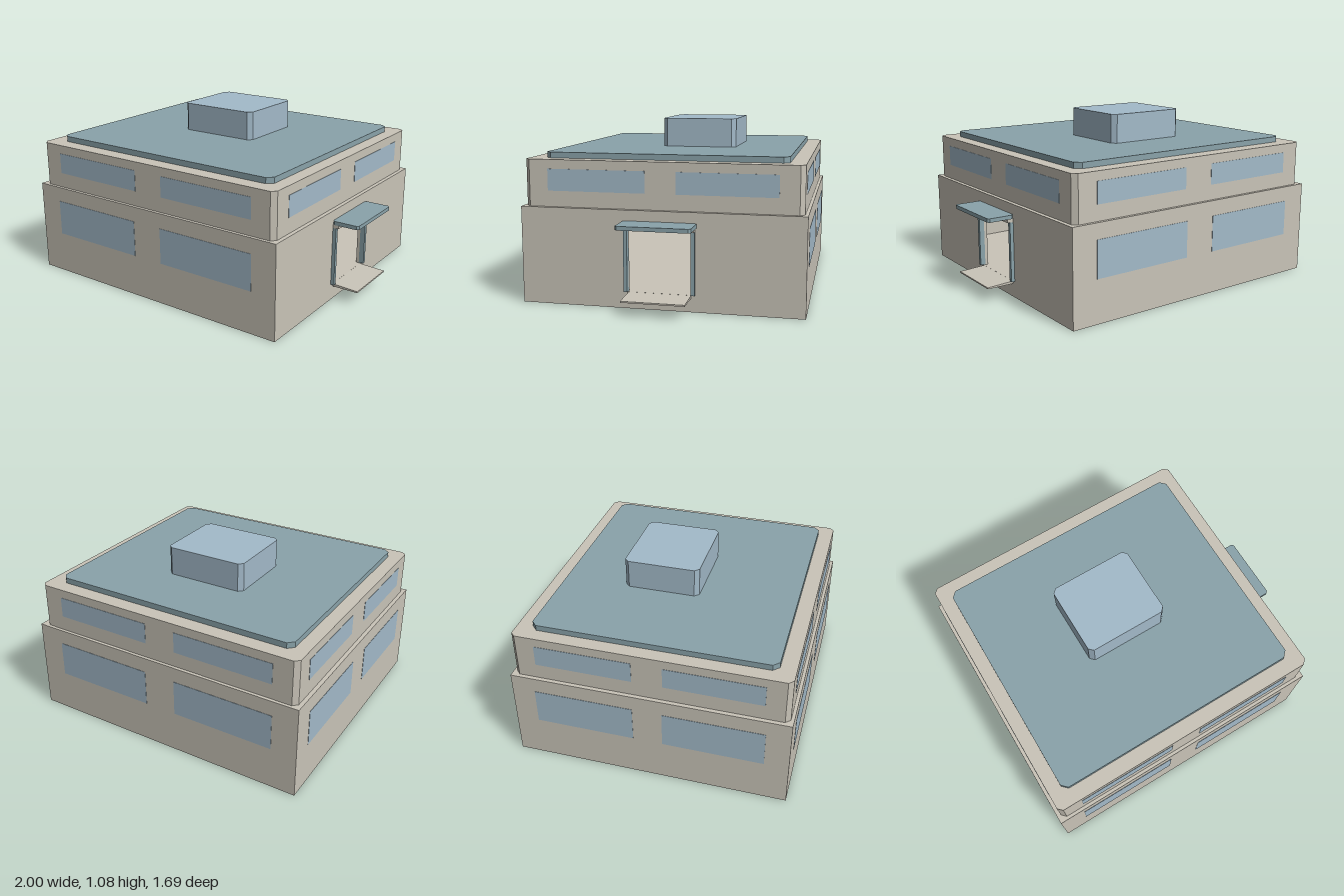
import * as THREE from 'three';

const wall = new THREE.MeshStandardMaterial({ color: 0xc9c4b8, name: 'stone wall' });
const trim = new THREE.MeshStandardMaterial({ color: 0x8aa3aa, name: 'slate trim' });
const glass = new THREE.MeshStandardMaterial({ color: 0xa3bac9, name: 'pale glass' });

function add(group, name, geometry, material) {
  const mesh = new THREE.Mesh(geometry, material);
  mesh.name = name;
  group.add(mesh);
  return mesh;
}

// Box given by its lower and upper limits on each axis
function box(x0, x1, y0, y1, z0, z1) {
  return new THREE.BoxGeometry(x1 - x0, y1 - y0, z1 - z0)
    .translate((x0 + x1) / 2, (y0 + y1) / 2, (z0 + z1) / 2);
}

// Upright prism over a plan of [x, z] points
function prism(points, y0, y1) {
  const shape = new THREE.Shape(points.map(([x, z]) => new THREE.Vector2(x, -z)));
  return new THREE.ExtrudeGeometry(shape, { depth: y1 - y0, bevelEnabled: false })
    .rotateX(-Math.PI / 2).translate(0, y0, 0);
}

// Slab with cut corners
function slab(x0, x1, y0, y1, z0, z1, c) {
  return prism([
    [x0 + c, z0], [x1 - c, z0], [x1, z0 + c], [x1, z1 - c],
    [x1 - c, z1], [x0 + c, z1], [x0, z1 - c], [x0, z0 + c],
  ], y0, y1);
}

export function createModel() {
  const model = new THREE.Group();
  model.name = 'building';

  // Ground storey: hollow behind the open doorway
  const storey = new THREE.Group();
  storey.name = 'groundStorey';
  model.add(storey);
  const L = -1, R = 0.83, D = 0.845, t = 0.03, door = 0.19;
  add(storey, 'base', box(L, R, 0, 0.1, -D, D), wall);
  add(storey, 'walls', prism([
    [R, door], [R, D], [L, D], [L, -D], [R, -D], [R, -door],
    [R - t, -door], [R - t, -D + t], [L + t, -D + t],
    [L + t, D - t], [R - t, D - t], [R - t, door],
  ], 0.1, 0.475), wall);
  add(storey, 'ceiling', box(L, R, 0.475, 0.585, -D, D), wall);

  // Upper storey, roof and rooftop block
  add(model, 'upperStorey', slab(-0.975, 0.805, 0.585, 0.865, -0.825, 0.825, 0.028), wall);
  add(model, 'roof', slab(-0.89, 0.72, 0.865, 0.9, -0.73, 0.73, 0.035), trim);
  add(model, 'rooftopBlock', slab(-0.35, 0.18, 0.9, 1.08, -0.337, 0.135, 0.027), glass);

  // Windows as thin plates on the walls
  const windows = new THREE.Group();
  windows.name = 'windows';
  model.add(windows);
  const e = 0.002;
  const rows = [
    { y: [0.265, 0.49], xs: [[-0.84, -0.19], [0.015, 0.67]], zs: [0.09, 0.7], d: 0.845, sides: [-1] },
    { y: [0.68, 0.81], xs: [[-0.825, -0.185], [0.015, 0.655]], zs: [0.092, 0.683], d: 0.825, sides: [-0.975, 0.805] },
  ];
  for (const { y, xs, zs, d, sides } of rows) {
    for (const s of [-1, 1]) {
      for (const [x0, x1] of xs) {
        add(windows, 'window', box(x0, x1, y[0], y[1], s * d - e, s * d + e), glass);
      }
      const [z0, z1] = s > 0 ? zs : [-zs[1], -zs[0]];
      for (const x of sides) {
        add(windows, 'sideWindow', box(x - e, x + e, y[0], y[1], z0, z1), glass);
      }
    }
  }

  // Side entrance: canopy, lintel, posts and sloping step
  const entrance = new THREE.Group();
  entrance.name = 'entrance';
  model.add(entrance);
  add(entrance, 'canopy', slab(0.83, 1, 0.498, 0.522, -0.22, 0.216, 0.013), trim);
  add(entrance, 'lintel', box(0.82, 0.868, 0.475, 0.498, -0.21, 0.21), wall);
  for (const s of [-1, 1]) {
    add(entrance, 'doorPost', box(0.82, 0.852, 0.103, 0.475, s * 0.2 - 0.011, s * 0.2 + 0.011), trim);
  }
  const profile = new THREE.Shape([[0.82, 0.083], [1, 0.083], [1, 0.092], [0.82, 0.1]]
    .map(([x, y]) => new THREE.Vector2(x, y)));
  add(entrance, 'step', new THREE.ExtrudeGeometry(profile, { depth: 0.374, bevelEnabled: false })
    .translate(0, 0, -0.187), wall);

  return model;
}
